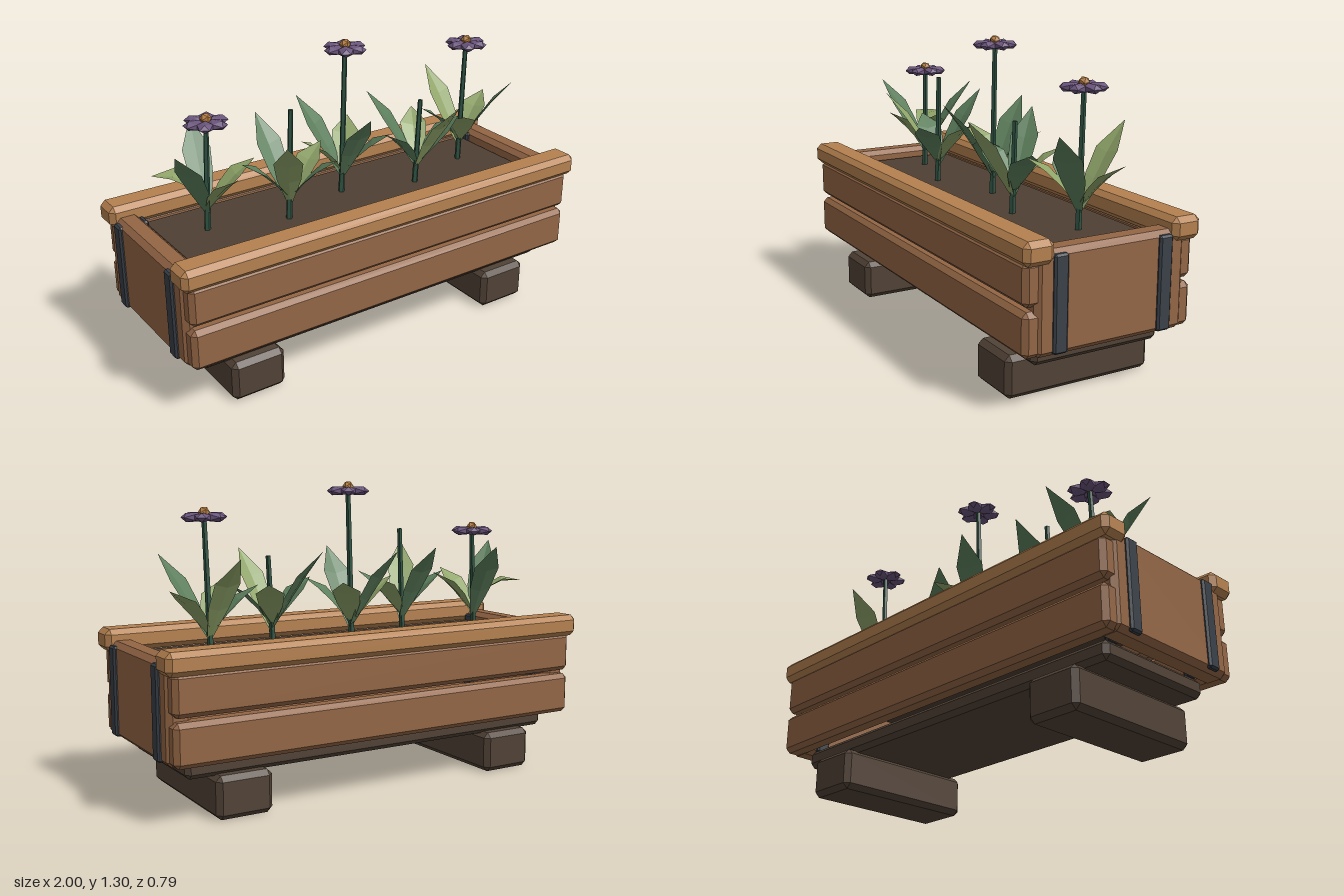
import * as THREE from 'three';
import { ConvexGeometry } from 'three/addons/geometries/ConvexGeometry.js';

function paint(name, color, side = THREE.FrontSide) {
  const m = new THREE.MeshStandardMaterial({ color, side });
  m.name = name;
  return m;
}

// Box between two corners with chamfered edges
function chamferBox(x0, x1, y0, y1, z0, z1, c) {
  const h = [(x1 - x0) / 2, (y1 - y0) / 2, (z1 - z0) / 2];
  const pts = [];
  for (const sx of [-1, 1]) for (const sy of [-1, 1]) for (const sz of [-1, 1])
    for (let k = 0; k < 3; k++) {
      const p = h.map((v, i) => (i === k ? v : v - c));
      pts.push(new THREE.Vector3(sx * p[0], sy * p[1], sz * p[2]));
    }
  const g = new ConvexGeometry(pts);
  g.translate((x0 + x1) / 2, (y0 + y1) / 2, (z0 + z1) / 2);
  return g;
}

function faceted(geometry) {
  const g = geometry.index ? geometry.toNonIndexed() : geometry;
  g.computeVertexNormals();
  return g;
}

// Creased leaf growing along a curve that rises from the stem
function leafGeometry(reach, rise, sag) {
  const rows = [[0, 0.012], [0.32, 0.05], [0.6, 0.06], [1, 0.001]];
  const pos = [], idx = [];
  for (const [t, w] of rows) {
    const y = rise * t + sag * Math.sin(Math.PI * t);
    pos.push(reach * t, y + w * 0.25, -w, reach * t, y, 0, reach * t, y + w * 0.25, w);
  }
  for (let r = 0; r < rows.length - 1; r++)
    for (let k = 0; k < 2; k++) {
      const a = r * 3 + k, b = a + 3;
      idx.push(a, a + 1, b, a + 1, b + 1, b);
    }
  const g = new THREE.BufferGeometry();
  g.setAttribute('position', new THREE.Float32BufferAttribute(pos, 3));
  g.setIndex(idx);
  return faceted(g);
}

export function createModel() {
  const model = new THREE.Group();
  model.name = 'flowerPlanter';
  const mat = {
    rail: paint('light wood', 0xb58150),
    wood: paint('brown wood', 0x936645),
    dark: paint('dark wood', 0x514236),
    soil: paint('soil', 0x4e3f33),
    metal: paint('dark metal', 0x3a4149),
    stem: paint('stem green', 0x2f5343),
    light: paint('light leaf green', 0x90a56a, THREE.DoubleSide),
    mid: paint('leaf green', 0x5d7f5d, THREE.DoubleSide),
    petal: paint('purple', 0x6b557c),
    heart: paint('amber', 0xb57c3e),
  };
  const add = (parent, name, geometry, material) => {
    const m = new THREE.Mesh(geometry, material);
    m.name = name;
    parent.add(m);
    return m;
  };
  const box = (name, material, x0, x1, y0, y1, z0, z1, c) =>
    add(model, name, chamferBox(x0, x1, y0, y1, z0, z1, c), material);

  // Base and soil
  box('floorBoard', mat.dark, -0.89, 0.89, 0.17, 0.25, -0.29, 0.29, 0.02);
  box('soilBed', mat.soil, -0.87, 0.87, 0.5, 0.6, -0.27, 0.27, 0.015);

  for (const s of [-1, 1]) {
    const spanX = (a, b) => (s > 0 ? [a, b] : [-b, -a]);
    // Feet, end boards and metal straps
    box('foot', mat.dark, ...spanX(0.535, 0.78), 0, 0.178, -0.335, 0.335, 0.022);
    box('endBoard', mat.wood, ...spanX(0.875, 0.98), 0.24, 0.645, -0.335, 0.335, 0.022);
    for (const z of [-0.235, 0.235]) {
      box('outerStrap', mat.metal, ...spanX(0.965, 0.993), 0.25, 0.63, z - 0.031, z + 0.031, 0.008);
      box('innerStrap', mat.metal, ...spanX(0.858, 0.885), 0.25, 0.63, z - 0.031, z + 0.031, 0.008);
    }
    // Long slats and top rails
    const spanZ = spanX;
    box('lowerSlat', mat.wood, -0.97, 0.97, 0.242, 0.42, ...spanZ(0.29, 0.38), 0.02);
    box('upperSlat', mat.wood, -0.97, 0.97, 0.437, 0.61, ...spanZ(0.29, 0.38), 0.02);
    box('topRail', mat.rail, -1, 1, 0.597, 0.692, ...spanZ(0.265, 0.395), 0.022);
  }

  // Plants: leaf entries are [angle in top view, size, colour]
  const leafKinds = {
    tall: { base: 0.67, g: leafGeometry(0.235, 0.34, 0.02) },
    middle: { base: 0.69, g: leafGeometry(0.21, 0.195, 0.02) },
    low: { base: 0.74, g: leafGeometry(0.22, 0.1, 0.04) },
  };
  const plants = [
    { x: -0.67, z: -0.05, top: 1.07, flower: true, leaves: [
      [10, 'middle', 'light'], [79, 'middle', 'light'], [145, 'tall', 'mid'],
      [214, 'low', 'light'], [283, 'tall', 'mid']] },
    { x: -0.335, z: 0.05, top: 1.085, leaves: [
      [342, 'middle', 'light'], [50, 'middle', 'mid'], [122, 'tall', 'light'],
      [187, 'middle', 'mid'], [265, 'tall', 'mid']] },
    { x: 0, z: -0.05, top: 1.26, flower: true, leaves: [
      [44, 'middle', 'mid'], [94, 'tall', 'mid'], [180, 'middle', 'light'],
      [244, 'tall', 'mid'], [310, 'middle', 'light']] },
    { x: 0.335, z: 0.05, top: 0.99, leaves: [
      [10, 'middle', 'mid'], [80, 'tall', 'light'], [170, 'middle', 'mid'],
      [231, 'tall', 'mid'], [300, 'middle', 'light']] },
    { x: 0.67, z: -0.05, top: 1.165, flower: true, leaves: [
      [340, 'middle', 'light'], [54, 'tall', 'mid'], [126, 'middle', 'light'],
      [188, 'middle', 'mid'], [262, 'tall', 'light']] },
  ];
  const ball = faceted(new THREE.IcosahedronGeometry(1, 0));
  for (const p of plants) {
    const plant = new THREE.Group();
    plant.name = 'plant';
    plant.position.set(p.x, 0, p.z);
    model.add(plant);

    // Slightly leaning stem
    const lean = 0.02, height = p.top - 0.58;
    const g = new THREE.CylinderGeometry(0.011, 0.014, height, 5);
    g.translate(0, height / 2, 0);
    const stem = add(plant, 'stem', faceted(g), mat.stem);
    stem.position.y = 0.58;
    stem.rotation.z = -Math.atan(lean / height);

    for (const [angle, kind, colour] of p.leaves) {
      const leaf = add(plant, 'leaf', leafKinds[kind].g, mat[colour]);
      leaf.position.set(0.006, leafKinds[kind].base, 0);
      leaf.rotation.y = -THREE.MathUtils.degToRad(angle);
    }

    // Six-petalled flower with a round heart
    if (p.flower) {
      const flower = new THREE.Group();
      flower.name = 'flower';
      flower.position.set(lean, p.top, 0);
      plant.add(flower);
      for (let i = 0; i < 6; i++) {
        const a = (i * Math.PI) / 3;
        const petal = add(flower, 'petal', ball, mat.petal);
        petal.scale.set(0.047, 0.021, 0.037);
        petal.position.set(Math.cos(a) * 0.053, 0, Math.sin(a) * 0.053);
        petal.rotation.y = -a;
      }
      const heart = add(flower, 'flowerHeart', ball, mat.heart);
      heart.scale.set(0.025, 0.024, 0.025);
      heart.position.y = 0.018;
    }
  }
  return model;
}
